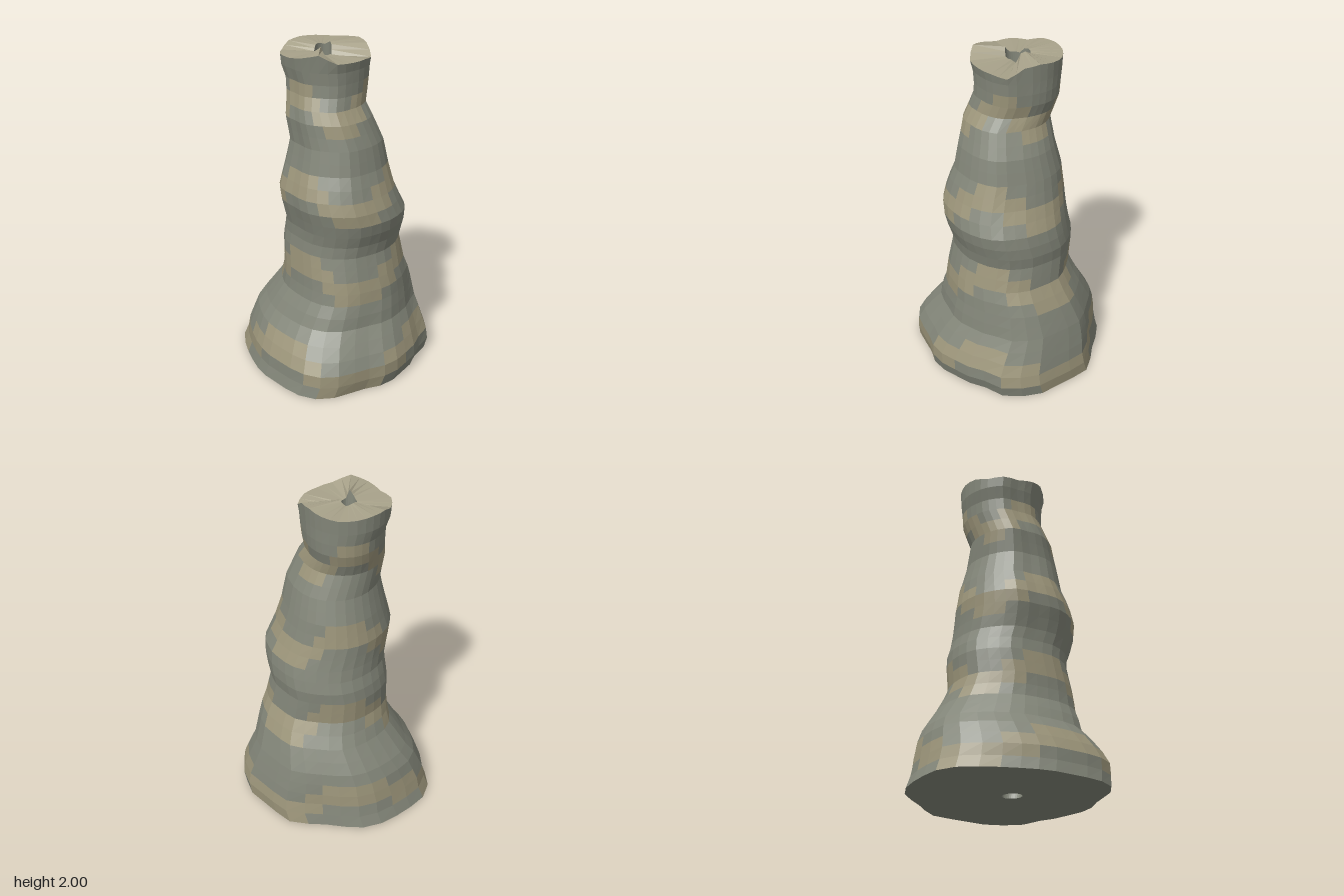
import * as THREE from 'three';

const SEGMENTS = 32;
const RINGS = 27;
const CUT_HEIGHT = 1.965;

// Silhouette stations: y, min x, max x
const WIDTH = [
  [0, -0.6, 0.575], [0.07, -0.57, 0.595], [0.15, -0.555, 0.585], [0.29, -0.5, 0.53],
  [0.36, -0.45, 0.5], [0.51, -0.34, 0.47], [0.58, -0.32, 0.455], [0.65, -0.31, 0.43],
  [0.8, -0.31, 0.395], [0.95, -0.285, 0.43], [1.02, -0.295, 0.435], [1.16, -0.315, 0.375],
  [1.3, -0.28, 0.33], [1.45, -0.245, 0.3], [1.6, -0.27, 0.235], [1.67, -0.27, 0.19],
  [1.85, -0.28, 0.205], [1.92, -0.318, 0.21], [2, -0.3, 0.22],
];
// Silhouette stations: y, min z, max z
const DEPTH = [
  [0, -0.575, 0.58], [0.15, -0.55, 0.57], [0.25, -0.545, 0.51], [0.36, -0.525, 0.41],
  [0.45, -0.49, 0.385], [0.51, -0.465, 0.36], [0.65, -0.39, 0.34], [0.8, -0.4, 0.31],
  [0.87, -0.405, 0.31], [0.95, -0.39, 0.33], [1.08, -0.365, 0.36], [1.2, -0.345, 0.335],
  [1.3, -0.335, 0.29], [1.5, -0.28, 0.255], [1.6, -0.25, 0.245], [1.75, -0.3, 0.185],
  [1.85, -0.305, 0.18], [2, -0.315, 0.21],
];
// Values evenly spaced around the trunk, from +x towards +z
const BASE_RADII = [
  0.55, 0.54, 0.525, 0.53, 0.525, 0.505, 0.52, 0.556, 0.575, 0.56, 0.53, 0.51, 0.51, 0.51, 0.515, 0.535,
  0.57, 0.612, 0.625, 0.61, 0.605, 0.61, 0.605, 0.58, 0.565, 0.585, 0.615, 0.6, 0.6, 0.625, 0.625, 0.612,
];
const TOP_RADII = [0.26, 0.26, 0.26, 0.275, 0.265, 0.265, 0.25, 0.265,
  0.255, 0.25, 0.255, 0.26, 0.258, 0.25, 0.24, 0.24];
const RIM_HEIGHTS = [1.93, 1.945, 1.945, 1.95, 2, 1.975, 1.955, 1.955,
  1.95, 1.98, 1.985, 1.98, 1.975, 1.985, 1.998, 1.988];

const lerp = THREE.MathUtils.lerp;
const angleOf = (j) => (j / SEGMENTS) * Math.PI * 2;

// Interpolated limits of a silhouette at height y
function limits(table, y) {
  let i = 0;
  while (i < table.length - 2 && table[i + 1][0] < y) i++;
  const [a, b] = [table[i], table[i + 1]];
  const t = (y - a[0]) / (b[0] - a[0]);
  return [lerp(a[1], b[1], t), lerp(a[2], b[2], t)];
}

// Value around the trunk at segment j
function around(values, j) {
  const p = (j / SEGMENTS) * values.length;
  const i = Math.floor(p);
  return lerp(values[i % values.length], values[(i + 1) % values.length], p - i);
}

// One outer ring: lobed at the foot, rounder above, fitted to the silhouettes
function outerRing(y, isRim) {
  const blend = Math.min(1, y / 1.3);
  const ring = [];
  for (let j = 0; j < SEGMENTS; j++) {
    const r = lerp(around(BASE_RADII, j) / 0.58, around(TOP_RADII, j) / 0.258, blend);
    ring.push(new THREE.Vector3(
      r * Math.cos(angleOf(j)), isRim ? around(RIM_HEIGHTS, j) : y, r * Math.sin(angleOf(j))));
  }
  const box = new THREE.Box3().setFromPoints(ring);
  const [x0, x1] = limits(WIDTH, y);
  const [z0, z1] = limits(DEPTH, y);
  for (const p of ring) {
    p.x = THREE.MathUtils.mapLinear(p.x, box.min.x, box.max.x, x0, x1);
    p.z = THREE.MathUtils.mapLinear(p.z, box.min.z, box.max.z, z0, z1);
  }
  return ring;
}

// One ring of the narrow bore, which bends with the trunk
function boreRing(t) {
  const [x0, x1] = limits(WIDTH, t * CUT_HEIGHT);
  const [z0, z1] = limits(DEPTH, t * CUT_HEIGHT);
  return Array.from({ length: SEGMENTS }, (_, j) => new THREE.Vector3(
    (x0 + x1) / 2 - 0.02 * t + 0.05 * Math.cos(angleOf(j)),
    t * around(RIM_HEIGHTS, j),
    (z0 + z1) / 2 + lerp(0.06, 0.073, t) * Math.sin(angleOf(j))));
}

// Weathered bands that step up and down around the bark
function isPatch(i, j) {
  const shift = Math.round(1.2 * Math.cos(3 * angleOf(j)));
  return i < RINGS - 2 && (i - shift + 7) % 7 > 0 && (i - shift + 7) % 7 < 3;
}

export function createModel() {
  // Rows run up the outside, over the rim, down the bore and back under the base
  const rows = [];
  for (let i = 0; i <= RINGS; i++) rows.push(outerRing((i / RINGS) * CUT_HEIGHT, i === RINGS));
  for (let i = RINGS; i >= 0; i--) rows.push(boreRing(i / RINGS));

  const faces = { bark: [], barkPatches: [], cutTop: [] };
  for (let i = 0; i < rows.length; i++) {
    const next = (i + 1) % rows.length;
    for (let j = 0; j < SEGMENTS; j++) {
      const k = (j + 1) % SEGMENTS;
      const a = i * SEGMENTS + j, b = i * SEGMENTS + k;
      const c = next * SEGMENTS + j, d = next * SEGMENTS + k;
      const part = i === RINGS ? 'cutTop' : isPatch(i, j) ? 'barkPatches' : 'bark';
      faces[part].push(a, c, b, b, c, d);
    }
  }

  const colors = { bark: 0x84877a, barkPatches: 0x9c957a, cutTop: 0xa8a28a };
  const group = new THREE.Group();
  group.name = 'hollowTrunk';
  for (const [name, index] of Object.entries(faces)) {
    const indexed = new THREE.BufferGeometry().setFromPoints(rows.flat());
    indexed.setIndex(index);
    const geometry = indexed.toNonIndexed();
    geometry.computeVertexNormals();
    const mesh = new THREE.Mesh(geometry,
      new THREE.MeshStandardMaterial({ color: colors[name], flatShading: true }));
    mesh.name = name;
    group.add(mesh);
  }
  return group;
}
